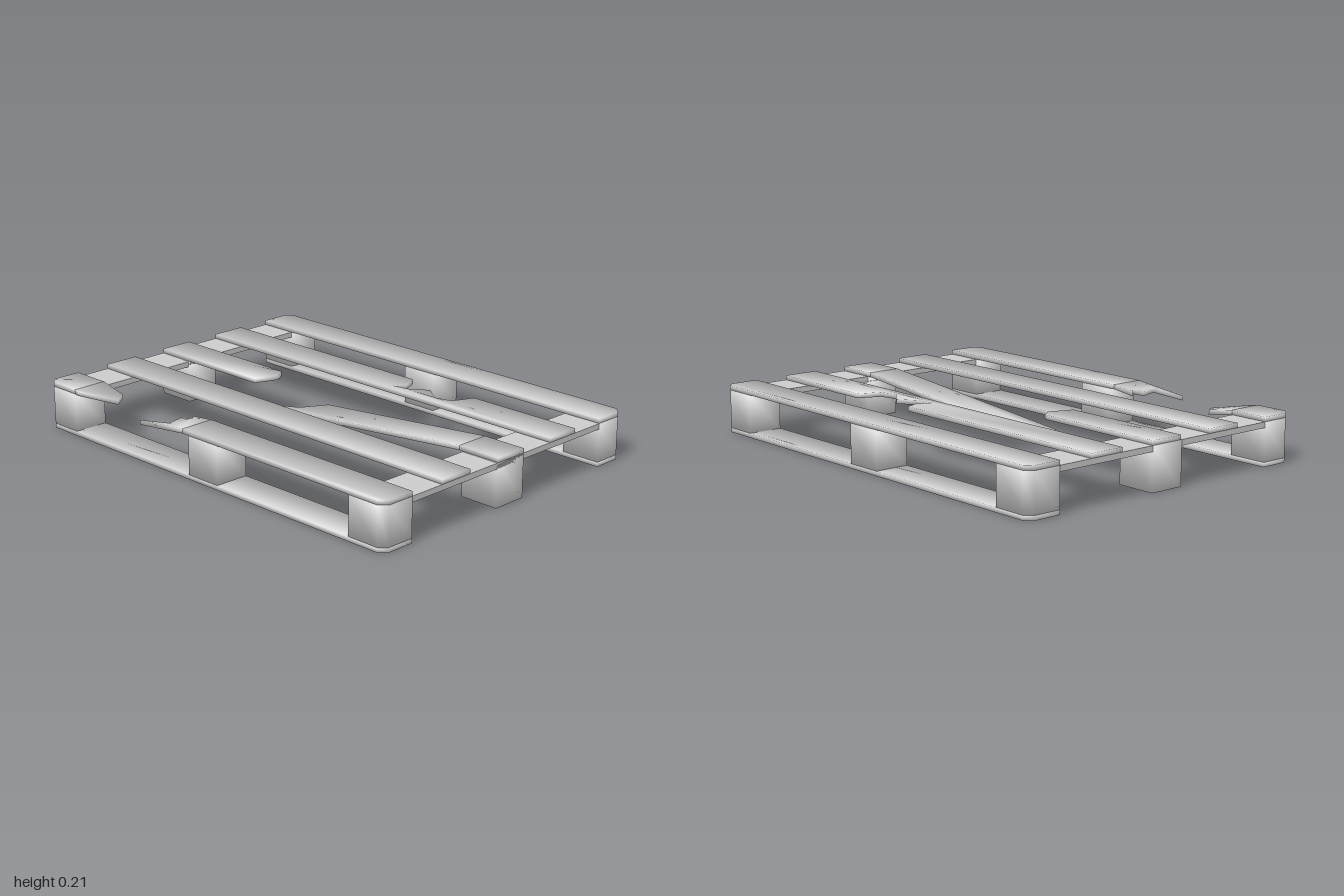
import * as THREE from 'three';
import { mergeVertices } from 'three/addons/utils/BufferGeometryUtils.js';

const wood = new THREE.MeshStandardMaterial({ color: 0xcccccc, roughness: 0.8 });

// Shared vertices with corner-angle weighted normals: soft shading across every edge
function soften(source) {
  source.deleteAttribute('normal');
  source.deleteAttribute('uv');
  const geo = mergeVertices(source, 1e-4);
  const pos = geo.attributes.position, index = geo.index;
  const sums = Array.from({ length: pos.count }, () => new THREE.Vector3());
  for (let i = 0; i < index.count; i += 3) {
    const ids = [0, 1, 2].map((k) => index.getX(i + k));
    const p = ids.map((id) => new THREE.Vector3().fromBufferAttribute(pos, id));
    const normal = new THREE.Triangle(...p).getNormal(new THREE.Vector3());
    ids.forEach((id, k) => {
      const a = p[(k + 1) % 3].clone().sub(p[k]);
      const b = p[(k + 2) % 3].clone().sub(p[k]);
      sums[id].addScaledVector(normal, a.angleTo(b));
    });
  }
  const normals = sums.flatMap((s) => s.normalize().toArray());
  geo.setAttribute('normal', new THREE.Float32BufferAttribute(normals, 3));
  return geo;
}

// Plan outline of [x, z] points raised from y0 to y1; sag(x) lowers the wood at x
function slab(name, outline, y0, y1, sag) {
  const shape = new THREE.Shape(outline.map(([x, z]) => new THREE.Vector2(x, -z)));
  const geo = new THREE.ExtrudeGeometry(shape, { depth: y1 - y0, bevelEnabled: false });
  geo.rotateX(-Math.PI / 2).translate(0, y0, 0);
  if (sag) {
    const pos = geo.attributes.position;
    for (let i = 0; i < pos.count; i++) pos.setY(i, pos.getY(i) - sag(pos.getX(i)));
  }
  const mesh = new THREE.Mesh(soften(geo), wood);
  mesh.name = name;
  return mesh;
}

const rect = (x0, x1, z0, z1) => [[x0, z0], [x1, z0], [x1, z1], [x0, z1]];

export function createModel() {
  const group = new THREE.Group();
  const LOW = 0.19, TOP = 0.21;      // deck board heights
  const IN = 0.565, OUT = 0.722;     // inner and outer edge of the end rows
  const C = 0.03;                    // clipped outer corners
  const deck = (name, outline, sag) => group.add(slab(name, outline, LOW, TOP, sag));

  // Outline of a full length board in an end row (side is +1 front, -1 back)
  const endBoard = (side) => [
    [-1, IN * side], [1, IN * side], [1, (OUT - C) * side],
    [1 - C, OUT * side], [-1 + C, OUT * side], [-1, (OUT - C) * side],
  ];

  // Skids and the blocks of the front and back rows
  for (const side of [1, -1]) {
    group.add(slab('skid', endBoard(side), 0, 0.02));
    const row = [IN * side, OUT * side];
    group.add(slab('centreBlock', rect(-0.085, 0.085, ...row), 0.02, LOW));
    for (const s of [1, -1]) {
      group.add(slab('cornerBlock', [
        [0.82 * s, IN * side], [s, IN * side], [s, (OUT - C) * side],
        [(1 - C) * s, OUT * side], [0.82 * s, OUT * side],
      ], 0.02, LOW));
    }
  }

  // Side blocks and the cross boards carrying the deck
  for (const s of [1, -1]) {
    group.add(slab('sideBlock', rect(0.82 * s, s, -0.08, 0.08), 0, LOW));
    const cross = new THREE.Mesh(new THREE.BoxGeometry(0.18, 0.025, 2 * IN), wood);
    cross.position.set(0.91 * s, 0.1775, 0);
    cross.name = 'crossBoard';
    group.add(cross);
  }

  // Whole deck boards
  deck('backDeckBoard', endBoard(-1));
  deck('wholeDeckBoard', rect(-1, 1, 0.24, 0.4));

  // Board with a jagged bite out of its back edge
  deck('notchedDeckBoard', [
    [-1, -0.405], [0.11, -0.405], [0.14, -0.33], [0.1, -0.28], [0.18, -0.295],
    [0.26, -0.35], [0.34, -0.29], [0.42, -0.31], [0.46, -0.405],
    [1, -0.405], [1, -0.245], [-1, -0.245],
  ]);

  // Middle board: snapped stub, fixed end, and the long piece hanging down
  deck('middleBoardStub', [
    [-1, -0.08], [-0.38, -0.08], [-0.345, -0.03], [-0.385, 0.075], [-1, 0.075],
  ]);
  deck('middleBoardEnd', rect(0.8, 1, -0.08, 0.075));
  deck('fallenMiddleBoard', [
    [0.8, -0.08], [0.8, 0.075], [-0.28, 0.075], [-0.28, 0.05],
    [-0.165, 0.02], [-0.085, -0.08],
  ], (x) => (0.8 - x) * 0.095);

  // Front board: two fixed pieces with sagging splintered tips
  deck('frontBoardStub', [
    [-1, IN], [-0.82, IN], [-0.82, OUT], [-1 + C, OUT], [-1, OUT - C],
  ]);
  deck('frontStubTip', [
    [-0.82, IN], [-0.68, 0.575], [-0.645, 0.63], [-0.8, OUT], [-0.82, OUT],
  ], (x) => (x + 0.82) * 0.16);
  deck('frontBoard', [
    [-0.12, IN], [1, IN], [1, OUT - C], [1 - C, OUT], [-0.12, OUT],
  ]);
  deck('frontBoardTip', [
    [-0.12, IN], [-0.24, IN], [-0.21, 0.59], [-0.26, 0.61],
    [-0.24, 0.69], [-0.39, OUT], [-0.12, OUT],
  ], (x) => (-0.12 - x) * 0.11);

  return group;
}
